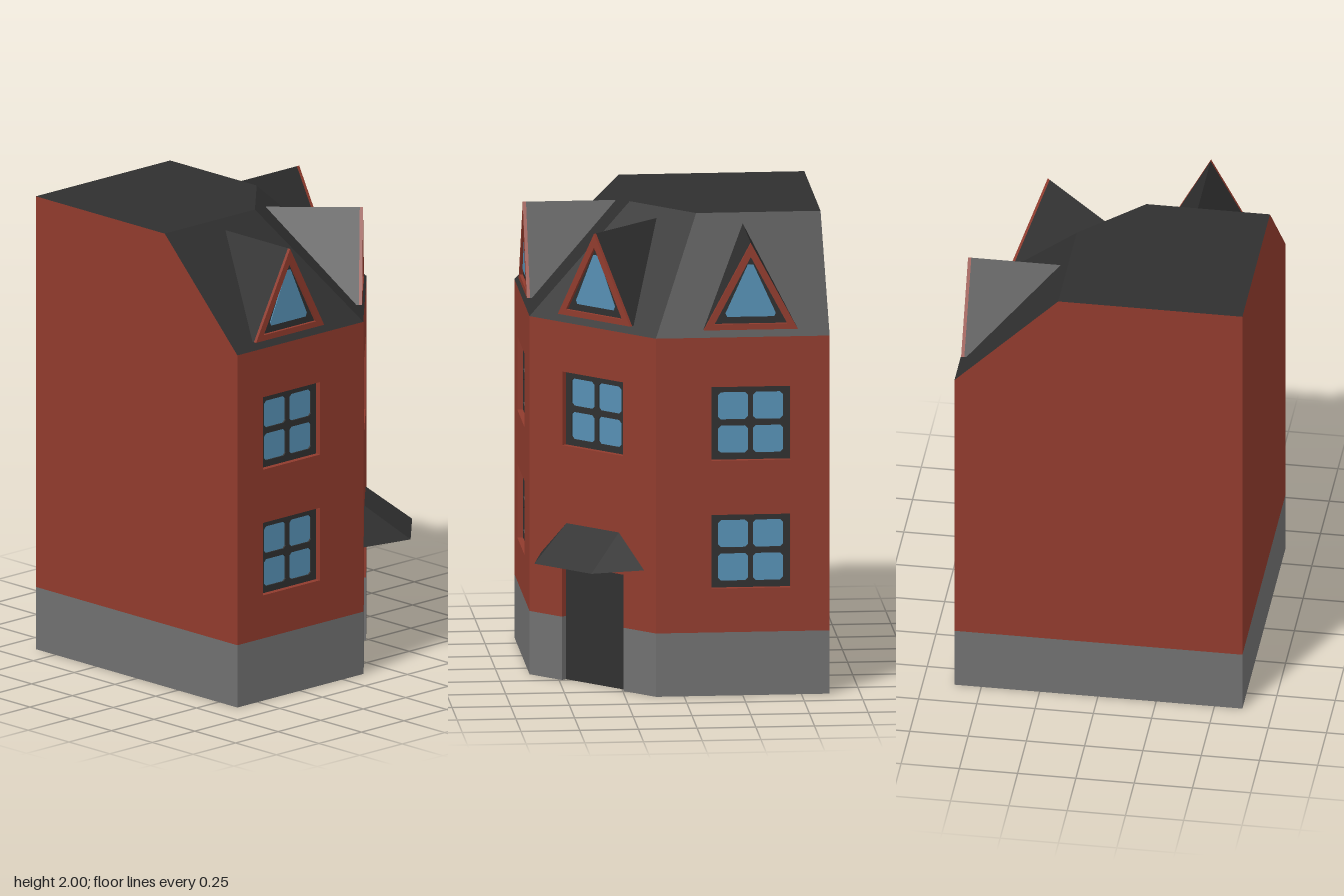
import * as THREE from 'three';

const mat = (name, color) => new THREE.MeshStandardMaterial({ name, color, side: THREE.DoubleSide });

const EAVE = 1.555, TOP = 2, BASE = 0.275;  // heights of eaves, roof top and plinth
const LO = -0.62, HI = 0.615, CUT = 0.12;   // footprint limits and start of the cut corner
const RECESS = 0.04;                        // wall thickness at the openings

const path = pts => pts.map(p => new THREE.Vector2(p[0], p[1]));
const rect = (x0, x1, y0, y1) => [[x0, y0], [x1, y0], [x1, y1], [x0, y1]];
const tri = (half, y0, y1) => [[-half, y0], [half, y0], [0, y1]];
// rectangle with clipped corners
const clipped = (x0, x1, y0, y1, c) => [
  [x0 + c, y0], [x1 - c, y0], [x1, y0 + c], [x1, y1 - c],
  [x1 - c, y1], [x0 + c, y1], [x0, y1 - c], [x0, y0 + c]];

export function createModel() {
  const brick = mat('brick red', 0x903b2d);
  const stone = mat('stone grey', 0x707070);
  const dark = mat('slate', 0x2f2f2f);
  const glass = mat('window blue', 0x568fb3);

  const model = new THREE.Group();
  model.name = 'cornerHouse';

  function add(parent, name, geometry, material) {
    const mesh = new THREE.Mesh(geometry, material);
    mesh.name = name;
    parent.add(mesh);
    return mesh;
  }

  // flat outline between two depths; depth 0 is the outer wall plane
  function plate(parent, name, pts, holes, back, front, material) {
    const shape = new THREE.Shape(path(pts));
    shape.holes = holes.map(h => new THREE.Path(path(h)));
    const depth = front - back;
    const geo = depth > 0
      ? new THREE.ExtrudeGeometry(shape, { depth, bevelEnabled: false })
      : new THREE.ShapeGeometry(shape);
    geo.translate(0, 0, back);
    return add(parent, name, geo, material);
  }

  // flat-sided surface from convex faces listed counter-clockwise
  function facets(parent, name, faces, material) {
    const pos = [];
    for (const f of faces)
      for (let i = 1; i < f.length - 1; i++) pos.push(...f[0], ...f[i], ...f[i + 1]);
    const geo = new THREE.BufferGeometry();
    geo.setAttribute('position', new THREE.Float32BufferAttribute(pos, 3));
    geo.computeVertexNormals();
    return add(parent, name, geo, material);
  }

  // each side is built in its own frame: x along the wall, z outward
  function side(name, x, z, angle) {
    const g = new THREE.Group();
    g.name = name;
    g.position.set(x, 0, z);
    g.rotation.y = angle;
    model.add(g);
    return g;
  }

  const W = 0.168, H = 0.16; // window half sizes
  const opening = (x, y) => rect(x - W, x + W, y - H, y + H);

  function addWindow(parent, x, y) {
    const panes = [];
    for (const sx of [-1, 1]) for (const sy of [-1, 1]) {
      const px = [sx * 0.011, sx * 0.138].sort((a, b) => a - b);
      const py = [sy * 0.013, sy * 0.132].sort((a, b) => a - b);
      panes.push(clipped(x + px[0], x + px[1], y + py[0], y + py[1], 0.012));
    }
    plate(parent, 'windowFrame', opening(x, y), panes, -RECESS, -0.024, dark);
    plate(parent, 'windowGlass', rect(x - 0.145, x + 0.145, y - 0.14, y + 0.14), [], -0.031, -0.031, glass);
  }

  // triangular dormer with a level ridge running back into the roof
  function addDormer(parent, x) {
    const g = new THREE.Group();
    g.name = 'dormer';
    g.position.x = x;
    parent.add(g);
    const outer = tri(0.2, 1.585, 1.96);
    plate(g, 'dormerRoof', outer, [], -0.42, -0.022, dark);
    plate(g, 'dormerTrim', outer, [tri(0.155, 1.61, 1.9)], -0.022, -0.008, brick);
    const pane = [[-0.1, 1.64], [0.1, 1.64], [0.107, 1.655], [0.012, 1.865], [-0.012, 1.865], [-0.107, 1.655]];
    plate(g, 'dormerGlass', pane, [], -0.021, -0.017, glass);
  }

  // two straight street walls, each with two windows and a dormer
  const mid = (LO + CUT) / 2, half = (CUT - LO) / 2;
  const streets = [
    [side('frontWall', mid, HI, 0), -0.052],
    [side('leftWall', HI, mid, Math.PI / 2), 0.035]];
  for (const [g, wx] of streets) {
    const rows = [0.625, 1.18];
    plate(g, 'wall', rect(-half, half, BASE, EAVE), rows.map(y => opening(wx, y)), -RECESS, 0, brick);
    plate(g, 'plinth', rect(-half, half, 0, BASE), [], -RECESS, 0, stone);
    rows.forEach(y => addWindow(g, wx, y));
    addDormer(g, wx);
  }

  // cut corner with the entrance
  const c = (CUT + HI) / 2, ch = (HI - CUT) / Math.SQRT2;
  const corner = side('cornerWall', c, c, Math.PI / 4);
  const D = 0.17, DH = 0.505;
  plate(corner, 'wall', [[-ch, BASE], [-D, BASE], [-D, DH], [D, DH], [D, BASE], [ch, BASE], [ch, EAVE], [-ch, EAVE]],
    [opening(0, 1.18)], -RECESS, 0, brick);
  for (const s of [-1, 1])
    plate(corner, 'plinth', rect(Math.min(s * D, s * ch), Math.max(s * D, s * ch), 0, BASE), [], -RECESS, 0, stone);
  plate(corner, 'door', rect(-D, D, 0, DH), [], -RECESS, -0.025, dark);
  addWindow(corner, 0, 1.18);
  addDormer(corner, 0);

  // porch canopy
  const a = [-0.285, 0.54, 0], b = [-0.158, 0.54, 0.197], e = [0.158, 0.54, 0.197], f = [0.285, 0.54, 0];
  const p = [-0.145, 0.685, 0], q = [0.145, 0.685, 0];
  facets(corner, 'porchCanopy', [[b, e, q, p], [a, b, p], [e, f, q], [a, f, e, b]], dark);

  // blank party walls that follow the roof slope
  const T = 0.17;
  const back = side('backWall', 0, LO, Math.PI);
  plate(back, 'wall', [[-HI, BASE], [-LO, BASE], [-LO, TOP], [-T, TOP], [-HI, EAVE]], [], 0, 0, brick);
  plate(back, 'plinth', rect(-HI, -LO, 0, BASE), [], 0, 0, stone);
  const right = side('rightWall', LO, 0, -Math.PI / 2);
  plate(right, 'wall', [[LO, BASE], [HI, BASE], [HI, EAVE], [T, TOP], [LO, TOP]], [], 0, 0, brick);
  plate(right, 'plinth', rect(LO, HI, 0, BASE), [], 0, 0, stone);

  // mansard roof: three slopes and a flat top
  const eaves = [[LO, HI], [CUT, HI], [HI, CUT], [HI, LO]].map(([x, z]) => [x, EAVE, z]);
  const rim = [[LO, T], [-0.09, T], [T, -0.09], [T, LO]].map(([x, z]) => [x, TOP, z]);
  const slopes = [0, 1, 2].map(i => [eaves[i], eaves[i + 1], rim[i + 1], rim[i]]);
  facets(model, 'roof', [...slopes, [...rim, [LO, TOP, LO]]], dark);

  return model;
}
